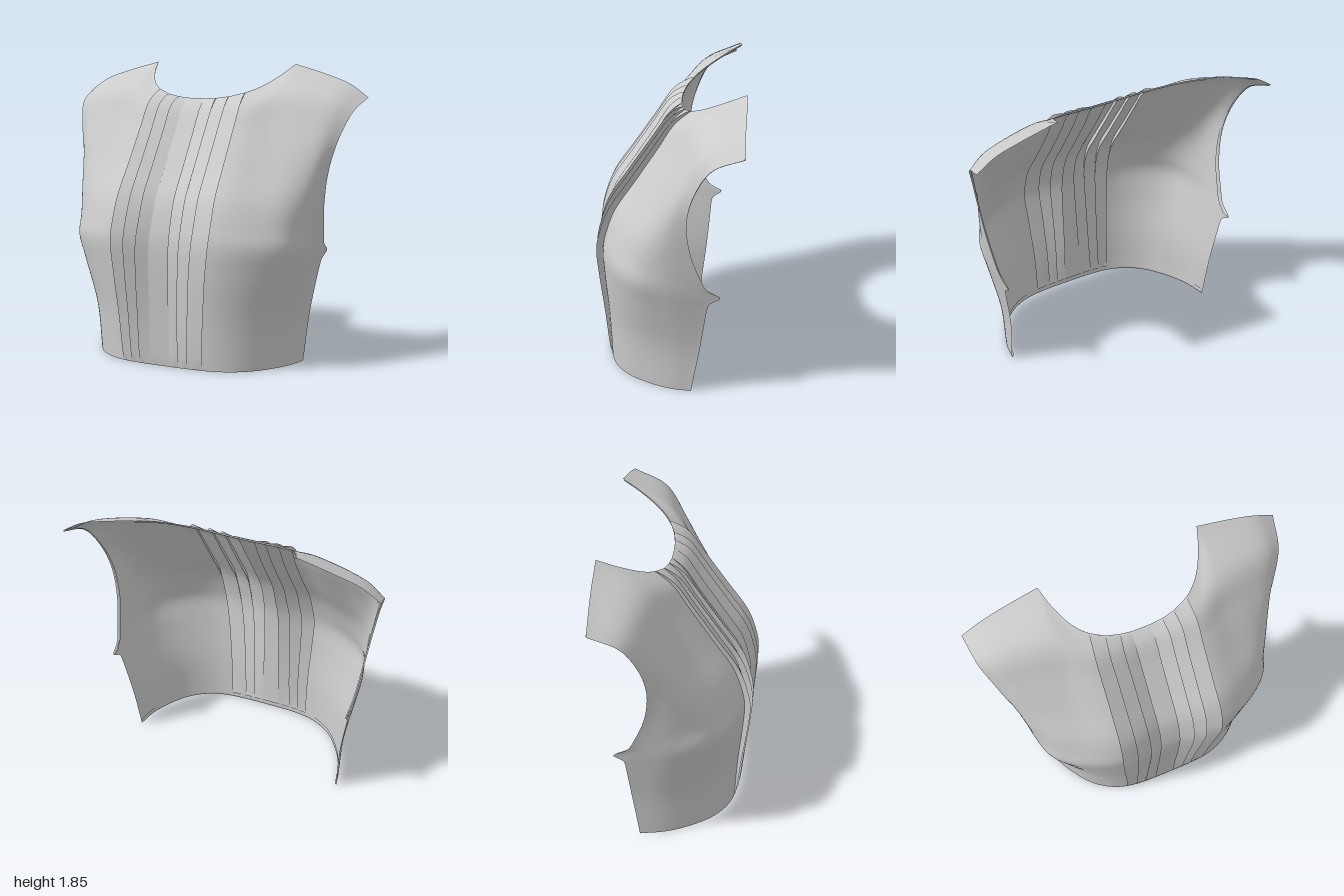
import * as THREE from 'three';

const V = (x, y, z) => new THREE.Vector3(x, y, z);
const { lerp, clamp, smoothstep } = THREE.MathUtils;
const material = new THREE.MeshStandardMaterial({ color: 0xcccccc, side: THREE.DoubleSide });

// Levels from the hem up: centre-front y, z, then side edge x, y, z
const LEVELS = [
  [0, .38, .70, 0, -.14],
  [.3, .39, .72, .3, -.19],
  [.6, .405, .765, .59, -.23],
  [.78, .405, .785, .69, -.245],
  [.89, .385, .805, .80, -.2],
  [1.03, .34, .83, 1.0, -.13],
  [1.22, .22, .865, 1.22, -.11],
  [1.43, .085, .91, 1.41, -.155],
  [1.57, 0, .965, 1.57, -.25],
];
// Girth shape from centre to edge at hem, bust and shoulder: sideways reach and backward fall
const REACH = [[0, .48, .72, .875, .965, 1], [0, .465, .76, .93, .993, 1], [0, .35, .53, .74, .90, 1]];
const FALL = [[0, .05, .23, .5, .76, 1], [0, 0, .14, .32, .58, 1], [0, .15, .58, .77, .88, 1]];
const RISE = [0, .03, .11, .10, .06, 0]; // lift towards the shoulder
const BUST = 3 / 8; // bust level, as a share of the rows

// Neckline from centre to neck point, then the shoulder seam
const NECK = [[0, 1.637, -.068], [.13, 1.643, -.075], [.265, 1.668, -.11], [.375, 1.715, -.19], [.455, 1.785, -.32], [.5, 1.85, -.45]];
const SHOULDER = [[.5, 1.85, -.45], [.73, 1.785, -.44], [.88, 1.73, -.43], [1, 1.65, -.425]];
const CORNER = 0.4; // position of the neck point along the top edge

const curve = (pts) => new THREE.CatmullRomCurve3(pts.map((p) => V(...p)));
const mirrored = (pts) => curve([...pts.slice(1).reverse().map(([x, y, z]) => [-x, y, z]), ...pts]);
const rows = LEVELS.map(([yc, zc, xe, ye, ze], i) => {
  const t = i / (LEVELS.length - 1);
  const low = smoothstep(t, 0, BUST);
  const high = Math.max(0, (t - BUST) / (1 - BUST));
  const blend = (shape, k, w) => lerp(lerp(shape[0][k], shape[1][k], low), shape[2][k], w);
  return mirrored(RISE.map((rise, k) => [
    xe * blend(REACH, k, high),
    lerp(yc, ye, (k / 5) ** 3) + rise * t ** 8,
    lerp(zc, ze, blend(FALL, k, high ** 2)),
  ]));
});
const neck = mirrored(NECK);
const shoulder = curve(SHOULDER);

// Top edge: neckline in the middle, a shoulder seam on each side
function topEdge(s) {
  const a = Math.abs(s);
  if (a <= CORNER) return neck.getPoint((s / CORNER + 1) / 2);
  const p = shoulder.getPoint((a - CORNER) / (1 - CORNER));
  p.x *= Math.sign(s);
  return p;
}

// Cloth surface: s runs -1..1 across the body, v runs 0..1 from hem to top
const columns = new Map();
function cloth(s, v) {
  s = clamp(s, -1, 1);
  v = clamp(v, 0, 1);
  if (!columns.has(s)) {
    const pts = rows.map((r) => r.getPoint((s + 1) / 2));
    columns.set(s, new THREE.CatmullRomCurve3([...pts, topEdge(s)]));
  }
  const p = columns.get(s).getPoint(v);
  p.z -= .065 * s ** 16 * Math.exp(-(((v - 1 / 3) / .035) ** 2)); // underarm point
  if (s < 0) { // the right side hangs slightly fuller
    p.x -= (.025 * (1 - v ** 4) + .012 * (1 - v) ** 2) * s * s;
    p.z -= .06 * s ** 4 * (1 - v) ** 2;
    p.y += .012 * v ** 8 * s * s;
  }
  return p;
}

// Cloth point moved along its outward normal
function raised(s, v, h) {
  const p = cloth(s, v);
  if (!h) return p;
  const e = .004;
  const du = cloth(s + e, v).sub(cloth(s - e, v));
  const dv = cloth(s, v + e).sub(cloth(s, v - e));
  return p.addScaledVector(du.cross(dv).normalize(), h);
}

// Grid mesh from a function of (a, b), both 0..1
function sheet(name, na, nb, f) {
  const pos = [], index = [];
  for (let j = 0; j <= nb; j++)
    for (let i = 0; i <= na; i++) pos.push(...f(i / na, j / nb).toArray());
  for (let j = 0; j < nb; j++)
    for (let i = 0; i < na; i++) {
      const k = j * (na + 1) + i, m = k + na + 1;
      index.push(k, k + 1, m, k + 1, m + 1, m);
    }
  const g = new THREE.BufferGeometry();
  g.setAttribute('position', new THREE.Float32BufferAttribute(pos, 3));
  g.setIndex(index);
  g.computeVertexNormals();
  const mesh = new THREE.Mesh(g, material);
  mesh.name = name;
  return mesh;
}

// Pleat fold lines, as x at the hem and x higher up, and how far each fold stands off the body
const FOLDS = [[-.33, -.355], [-.26, -.255], [-.2, -.165], [-.12, -.088], [.02, .045], [.08, .135], [.14, .22], [.24, .33]];
const HEIGHTS = [.045, .045, .045, .02, .02, .045, .045, .045];
const UNDERCUT = .014;
const NV = 80;
const fade = (v) => Math.sqrt(Math.max(0, Math.sin(Math.PI * v)));
const foldAt = (k, v) => lerp(FOLDS[k][0], FOLDS[k][1], smoothstep(v, -.15, .55)) * (.2 / .365);
// Root of a fold, tucked under its crest towards the centre
const rootAt = (k, v) => foldAt(k, v) + (k < 4 ? 1 : -1) * UNDERCUT * fade(v);
const crest = (k, v) => raised(foldAt(k, v), v, HEIGHTS[k] * fade(v));
const root = (k, v) => cloth(rootAt(k, v), v);

export function createModel() {
  const model = new THREE.Group();
  model.name = 'bodiceFront';

  // Smooth side panels, from the outermost fold to the side seam and armhole
  for (const side of [-1, 1]) {
    const fold = side < 0 ? 0 : 7;
    model.add(sheet(side < 0 ? 'rightPanel' : 'leftPanel', 40, NV, (a, v) => {
      const t = side < 0 ? 1 - a : a;
      const inner = Math.abs(rootAt(fold, v));
      const s = t < .3 ? lerp(inner, CORNER, t / .3) : lerp(CORNER, 1, (t - .3) / .7);
      return cloth(side * s, v);
    }));
  }

  // Knife pleats: each strip stands up at its outer crest and sinks under the next one
  const pleats = new THREE.Group();
  pleats.name = 'pleats';
  for (let k = 0; k < 7; k++) {
    const from = k < 4 ? crest : root, to = k < 3 ? root : crest;
    pleats.add(sheet(k === 3 ? 'placket' : 'pleat', 3, NV, (a, v) => from(k, v).lerp(to(k + 1, v), a)));
  }
  for (let k = 0; k < 8; k++)
    pleats.add(sheet('pleatFold', 1, NV, (a, v) => root(k, v).lerp(crest(k, v), a)));
  model.add(pleats);

  // Turned-in facings along the hem, neckline and armholes
  const turn = (t) => -.008 * Math.min(1, t * 4);
  model.add(sheet('hemFacing', 80, 4, (a, b) => raised(a * 2 - 1, b * .015, turn(b))));
  model.add(sheet('neckFacing', 50, 4, (a, b) => raised((a * 2 - 1) * CORNER, 1 - (1 - b) * .02, turn(1 - b))));
  for (const side of [-1, 1]) {
    model.add(sheet('armholeFacing', 4, 48, (a, b) => {
      const t = side < 0 ? a : 1 - a;
      return raised(side * (1 - t * .025), lerp(1 / 3, 1, b), turn(t));
    }));
  }
  return model;
}
